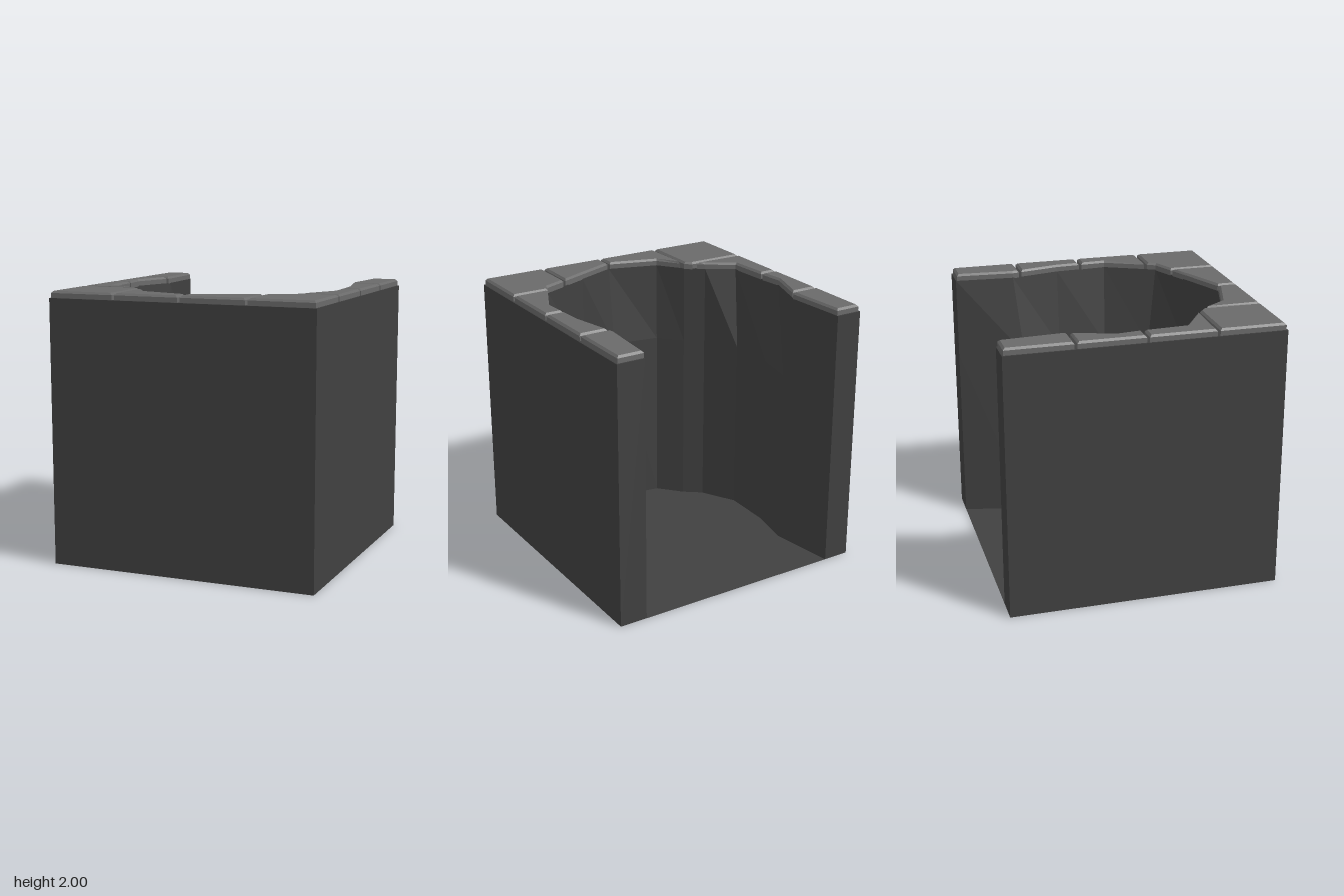
import * as THREE from 'three';

const BASE_TOP = 1.95, FLARE_START = 1.35;

// Pit outline as [x, z], from the back right end round the front to the back left end
const pitLow = [
  [-0.8, -1], [-0.72, -0.5], [-0.78, -0.19], [-0.78, 0.19], [-0.64, 0.45], [-0.51, 0.55], [-0.36, 0.72],
  [0, 0.78], [0.3, 0.73], [0.63, 0.5], [0.78, 0.18], [0.78, -0.19], [0.68, -0.5], [0.79, -1],
];
const pitRim = [
  [-0.8, -1], [-0.77, -0.53], [-0.88, -0.19], [-0.84, 0.32], [-0.64, 0.45], [-0.51, 0.55], [-0.37, 0.74],
  [0, 0.85], [0.3, 0.73], [0.68, 0.57], [0.86, 0.2], [0.84, -0.19], [0.76, -0.56], [0.79, -1],
];
const outer = [[-0.8, -1], [-1, -1], [-1, 1], [1, 1], [1, -1], [0.79, -1]];

// Capping stones, cut to follow the pit rim
const stones = [
  [[-0.99, -0.99], [-0.99, -0.51], [-0.775, -0.51], [-0.77, -0.53], [-0.8, -0.99]],
  [[-0.99, -0.49], [-0.99, -0.01], [-0.86, -0.01], [-0.88, -0.19], [-0.785, -0.49]],
  [[-0.99, 0.01], [-0.99, 0.49], [-0.59, 0.49], [-0.64, 0.45], [-0.84, 0.32], [-0.86, 0.01]],
  [[-0.99, 0.51], [-0.99, 0.99], [-0.51, 0.99], [-0.51, 0.55], [-0.56, 0.51]],
  [[-0.49, 0.58], [-0.49, 0.99], [-0.01, 0.99], [-0.01, 0.85], [-0.37, 0.74]],
  [[0.01, 0.85], [0.01, 0.99], [0.49, 0.99], [0.49, 0.65], [0.3, 0.73]],
  [[0.51, 0.64], [0.51, 0.99], [0.99, 0.99], [0.99, 0.51], [0.71, 0.51], [0.68, 0.57]],
  [[0.99, 0.49], [0.99, 0.01], [0.85, 0.01], [0.86, 0.2], [0.72, 0.49]],
  [[0.99, -0.01], [0.99, -0.49], [0.775, -0.49], [0.84, -0.19], [0.85, -0.01]],
  [[0.99, -0.51], [0.99, -0.99], [0.79, -0.99], [0.76, -0.56], [0.77, -0.51]],
];

const toShape = (pts) => new THREE.Shape(pts.map(([x, z]) => new THREE.Vector2(x, -z)));

// Flat horizontal polygon facing up
function slab(pts, y) {
  return new THREE.ShapeGeometry(toShape(pts)).rotateX(-Math.PI / 2).translate(0, y, 0);
}

// Flat-shaded band of quads between two outlines at two heights
function band(low, y0, high, y1, inward) {
  const v = [];
  for (let i = 0; i + 1 < low.length; i++) {
    const a = [low[i][0], y0, low[i][1]], b = [low[i + 1][0], y0, low[i + 1][1]];
    const c = [high[i + 1][0], y1, high[i + 1][1]], d = [high[i][0], y1, high[i][1]];
    if (inward) v.push(...a, ...c, ...b, ...a, ...d, ...c);
    else v.push(...a, ...b, ...c, ...a, ...c, ...d);
  }
  const g = new THREE.BufferGeometry();
  g.setAttribute('position', new THREE.Float32BufferAttribute(v, 3));
  g.computeVertexNormals();
  return g;
}

export function createModel() {
  const group = new THREE.Group();
  const wallMat = new THREE.MeshStandardMaterial({ color: 0x404040, side: THREE.DoubleSide });
  wallMat.name = 'dark stone';
  const stoneMat = new THREE.MeshStandardMaterial({ color: 0x6a6a6a });
  stoneMat.name = 'light stone';

  const add = (name, geometry, material) => {
    const mesh = new THREE.Mesh(geometry, material);
    mesh.name = name;
    group.add(mesh);
  };

  // Open-bottomed shell with the pit sunk into it
  add('outerWalls', band(outer, 0, outer, BASE_TOP, false), wallMat);
  add('pitWall', band(pitLow, 0, pitLow, FLARE_START, true), wallMat);
  add('pitFlare', band(pitLow, FLARE_START, pitRim, BASE_TOP, true), wallMat);
  add('pitFloor', slab(pitLow, 0), wallMat);
  add('wallTop', slab([...outer.slice(1, 5), ...[...pitRim].reverse()], BASE_TOP), wallMat);

  // Bevelled stones seated in the wall top
  const bevel = 0.015;
  stones.forEach((pts, i) => {
    const g = new THREE.ExtrudeGeometry(toShape(pts), {
      depth: 0.04, bevelEnabled: true, bevelSegments: 1,
      bevelThickness: bevel, bevelSize: bevel, bevelOffset: -bevel,
    });
    g.rotateX(-Math.PI / 2).translate(0, 2 - 0.04 - bevel, 0);
    add('cappingStone' + (i + 1), g, stoneMat);
  });
  return group;
}
